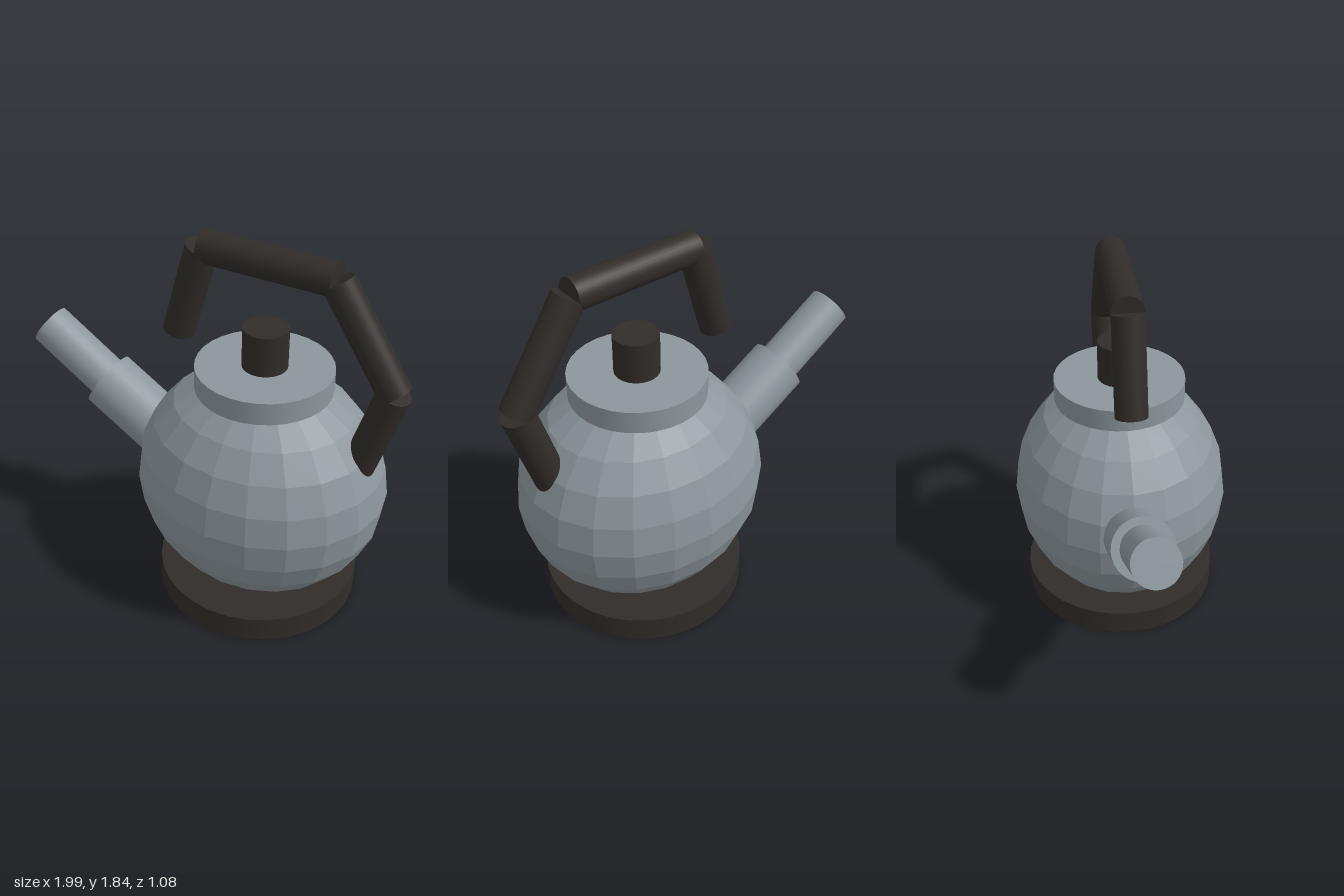
import * as THREE from 'three';

export function createModel() {
  const kettle = new THREE.Group();
  kettle.name = 'kettle';
  const steel = new THREE.MeshStandardMaterial({ color: 0x8c969b });
  const facetedSteel = new THREE.MeshStandardMaterial({ color: 0x8c969b, flatShading: true });
  const dark = new THREE.MeshStandardMaterial({ color: 0x302c29 });
  const axisX = 0.295;

  function add(name, geometry, material) {
    const mesh = new THREE.Mesh(geometry, material);
    mesh.name = name;
    kettle.add(mesh);
    return mesh;
  }

  // Capped round rod between two points in the z = 0 plane
  function rod(name, [x0, y0], [x1, y1], radius, material) {
    const from = new THREE.Vector3(x0, y0, 0);
    const to = new THREE.Vector3(x1, y1, 0);
    const mesh = add(name, new THREE.CylinderGeometry(radius, radius, from.distanceTo(to), 32), material);
    mesh.position.copy(from).lerp(to, 0.5);
    mesh.quaternion.setFromUnitVectors(new THREE.Vector3(0, 1, 0), to.sub(from).normalize());
  }

  // Faceted oval body
  const body = new THREE.SphereGeometry(1, 20, 12);
  body.scale(0.62, 0.58, 0.54);
  add('body', body, facetedSteel).position.set(axisX, 0.63, 0);

  // Base, lid and lid knob stacked on the vertical axis
  rod('base', [axisX, 0], [axisX, 0.13], 0.497, dark);
  rod('lid', [axisX, 1.14], [axisX, 1.25], 0.323, steel);
  rod('lidKnob', [axisX, 1.25], [axisX, 1.447], 0.107, dark);

  // Two-stage spout
  rod('spoutBase', [-0.15, 0.628], [-0.595, 0.89], 0.148, steel);
  rod('spoutTip', [-0.55, 0.864], [-0.943, 1.108], 0.108, steel);

  // Handle: four straight rods, open at the spout side
  rod('handleFront', [-0.163, 1.305], [-0.035, 1.76], 0.077, dark);
  rod('handleGrip', [-0.03, 1.763], [0.617, 1.763], 0.077, dark);
  rod('handleSlope', [0.623, 1.758], [0.923, 1.3], 0.077, dark);
  rod('handleRear', [0.92, 1.3], [0.782, 0.85], 0.077, dark);

  return kettle;
}
